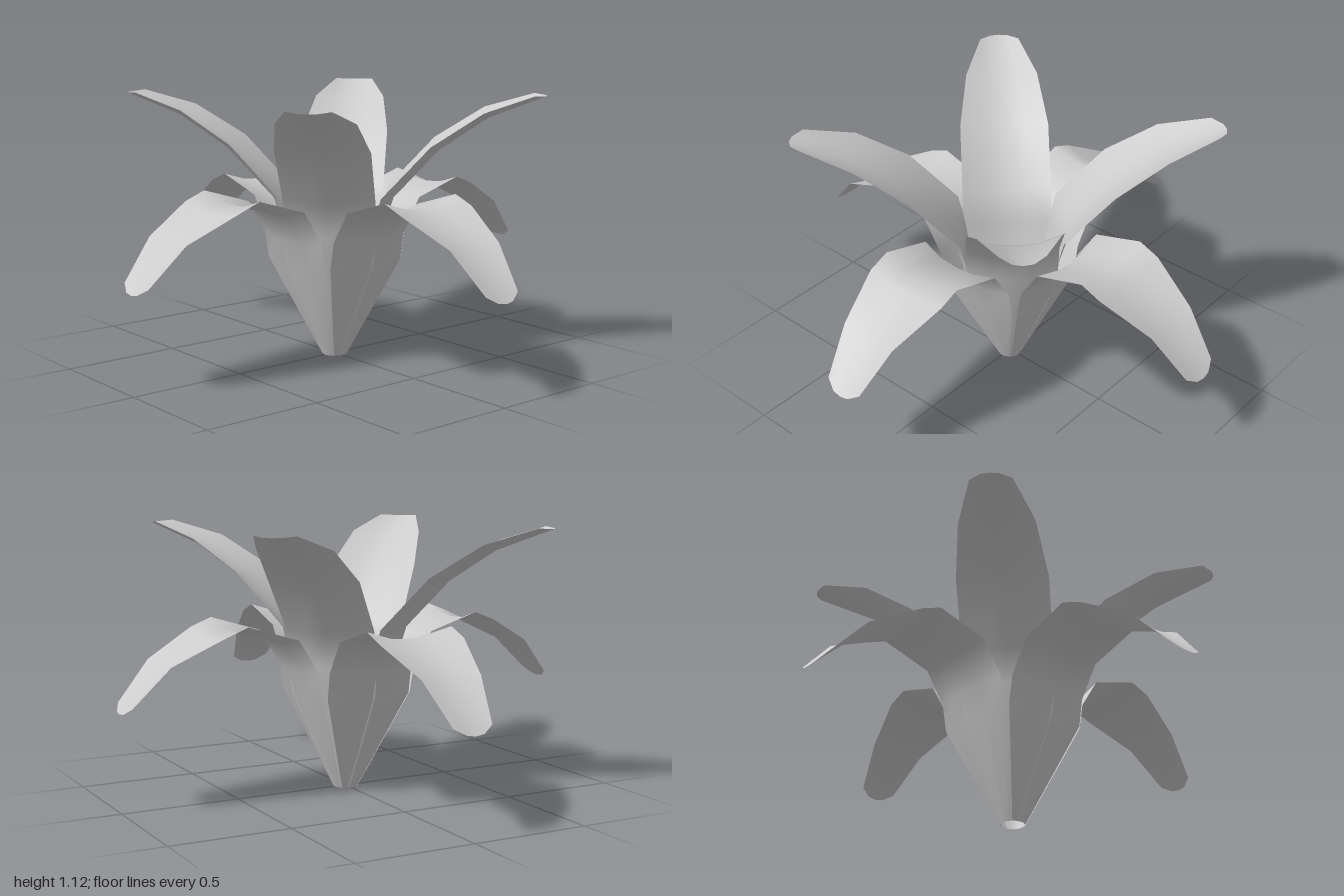
import * as THREE from 'three';

// Cross-sections from base to tip: [midrib radius, midrib y, edge radius, edge y, half width]
const OUTER = [
  [0.05, 0, 0.04, 0, 0.035],
  [0.23, 0.41, 0.205, 0.42, 0.19],
  [0.255, 0.52, 0.225, 0.535, 0.19],
  [0.33, 0.64, 0.31, 0.668, 0.19],
  [0.53, 0.697, 0.53, 0.735, 0.19],
  [0.61, 0.668, 0.62, 0.7, 0.19],
  [0.82, 0.568, 0.83, 0.59, 0.13],
  [1.0, 0.4, 0.975, 0.432, 0.085],
];
const INNER = [
  [0.05, 0, 0.04, 0, 0.035],
  [0.185, 0.41, 0.155, 0.42, 0.18],
  [0.205, 0.54, 0.175, 0.555, 0.19],
  [0.25, 0.68, 0.21, 0.7, 0.19],
  [0.44, 0.885, 0.41, 0.915, 0.19],
  [0.64, 1.02, 0.62, 1.05, 0.155],
  [0.875, 1.11, 0.825, 1.115, 0.085],
];

// Across the petal: [fraction of half width, cupping from midrib to edge]
const ACROSS = [[-1, 1], [-0.45, 0.16], [0, 0], [0.45, 0.16], [1, 1]];

// A cupped sheet growing along +x
function petalGeometry(rows) {
  const positions = [];
  const index = [];
  const n = ACROSS.length;
  for (const [mr, my, er, ey, w] of rows) {
    for (const [u, cup] of ACROSS) {
      positions.push(mr + (er - mr) * cup, my + (ey - my) * cup, u * w);
    }
  }
  for (let i = 0; i < rows.length - 1; i++) {
    for (let j = 0; j < n - 1; j++) {
      const a = i * n + j;
      index.push(a, a + 1, a + n, a + 1, a + n + 1, a + n);
    }
  }
  const geometry = new THREE.BufferGeometry();
  geometry.setAttribute('position', new THREE.Float32BufferAttribute(positions, 3));
  geometry.setIndex(index);
  geometry.computeVertexNormals();
  return geometry;
}

export function createModel() {
  const flower = new THREE.Group();
  flower.name = 'flower';
  const material = new THREE.MeshStandardMaterial({ color: 0xcccccc, side: THREE.DoubleSide });

  // Four evenly spaced petals per ring
  function addRing(name, rows, startDegrees) {
    const ring = new THREE.Group();
    ring.name = name + 'Ring';
    const geometry = petalGeometry(rows);
    for (let i = 0; i < 4; i++) {
      const petal = new THREE.Mesh(geometry, material);
      petal.name = name + (i + 1);
      petal.rotation.y = -THREE.MathUtils.degToRad(startDegrees + i * 90);
      ring.add(petal);
    }
    flower.add(ring);
  }

  addRing('droopingPetal', OUTER, 0);
  addRing('uprightPetal', INNER, 46);
  return flower;
}
